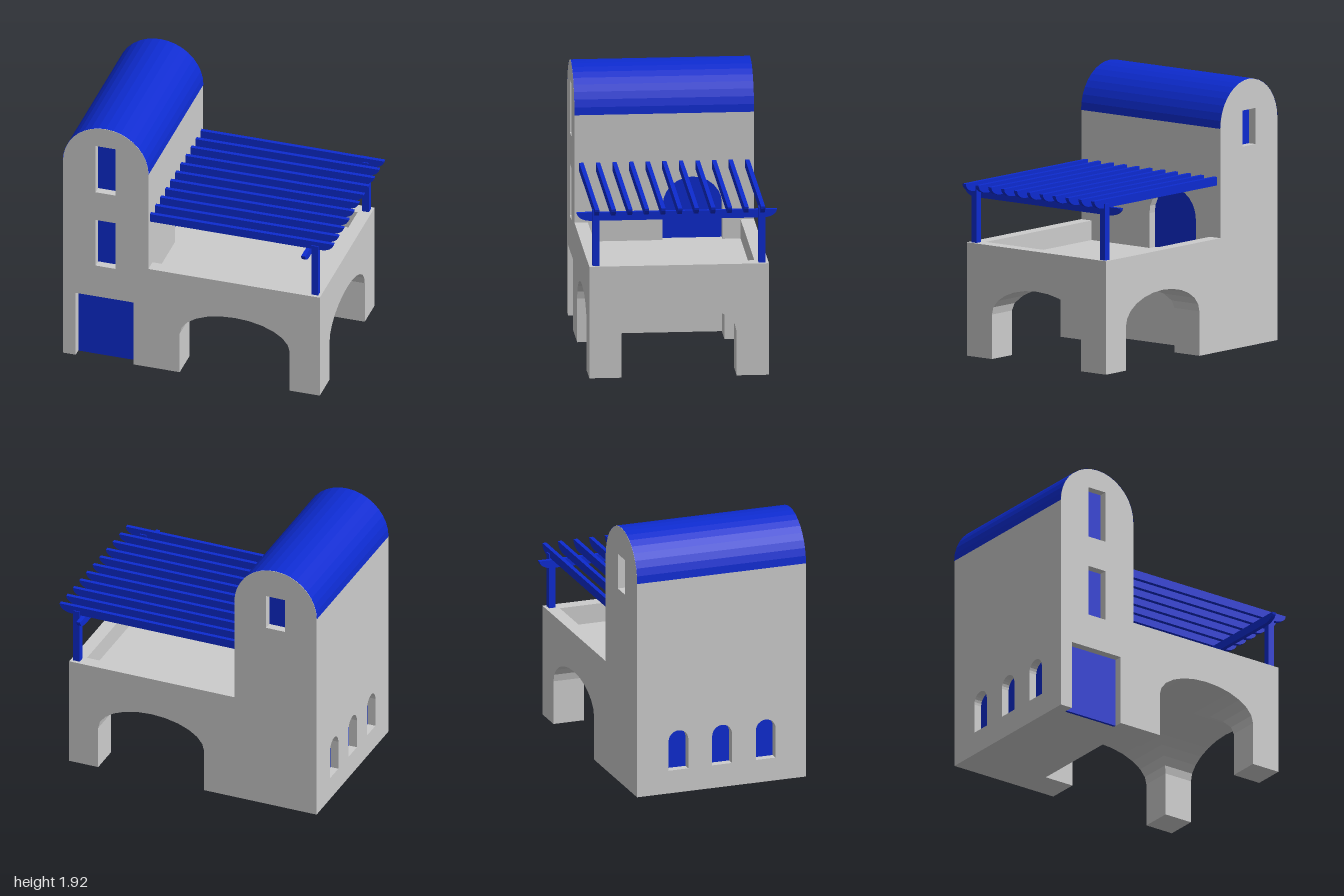
import * as THREE from 'three';

const SEG = 18, RECESS = 0.08, PANE = 0.02;
const BACK = -0.648, FRONT = 0.629, ZMID = (BACK + FRONT) / 2;
const LEFT = -1, WALL = -0.365, RIGHT = 0.91;          // tower sides, terrace end
const SPRING = 1.6, RAD = (WALL - LEFT) / 2, TX = (WALL + LEFT) / 2;
const FLOOR = 0.675, TOP = 0.815;
const AX = 0.2775, AZ = -0.01, AR = 0.409, AS = 0.32, AH = 0.208; // vault arches

const grey = new THREE.MeshStandardMaterial({ color: 0xcccccc, flatShading: true });
const greyThin = new THREE.MeshStandardMaterial({ color: 0xcccccc, flatShading: true, side: THREE.DoubleSide });
const blue = new THREE.MeshStandardMaterial({ color: 0x0d2bd0 });
const roofBlue = new THREE.MeshStandardMaterial({ color: 0x0d2bd0, flatShading: true, side: THREE.DoubleSide });

// Half ellipse from right to left
const arc = (c, r, spring, h, n = SEG) => Array.from({ length: n + 1 }, (_, i) => {
  const t = Math.PI * i / n;
  return [c + r * Math.cos(t), spring + h * Math.sin(t)];
});
const rect = (x0, x1, y0, y1) => [[x0, y0], [x1, y0], [x1, y1], [x0, y1]];
const archway = (c, r, y0, spring, h) => [[c - r, y0], [c + r, y0], ...arc(c, r, spring, h, 12)];
const vec = pts => pts.map(p => new THREE.Vector2(...p));

// Extrusions along z, and along x (outline given as [-z, y])
function alongZ(pts, z0, z1, holes = []) {
  const s = new THREE.Shape(vec(pts));
  s.holes = holes.map(h => new THREE.Path(vec(h)));
  return new THREE.ExtrudeGeometry(s, { depth: z1 - z0, bevelEnabled: false }).translate(0, 0, z0);
}
const alongX = (pts, x0, x1, holes) => alongZ(pts, x0, x1, holes).rotateY(Math.PI / 2);

// Ceiling where the two crossing tunnels meet
function groinVault(n = 12) {
  const pos = [], idx = [];
  const h = i => AS + AH * Math.sin(Math.PI * i / n);
  const off = i => -AR * Math.cos(Math.PI * i / n);
  for (let j = 0; j <= n; j++) for (let i = 0; i <= n; i++)
    pos.push(AX + off(i), Math.max(h(i), h(j)), AZ + off(j));
  for (let j = 0; j < n; j++) for (let i = 0; i < n; i++) {
    const a = j * (n + 1) + i, b = a + 1, c = a + n + 1, d = c + 1;
    if ((i < n / 2) === (j < n / 2)) idx.push(a, b, d, a, d, c);
    else idx.push(a, b, c, b, d, c);
  }
  const g = new THREE.BufferGeometry();
  g.setAttribute('position', new THREE.Float32BufferAttribute(pos, 3));
  g.setIndex(idx);
  g.computeVertexNormals();
  return g;
}

// Timber outline with an undercut, rounded tip at u1 (and at u0 if both)
function timber(u0, u1, y0, y1, both) {
  const tip = 0.1, n = 6, pts = [];
  const curve = (u, s) => Array.from({ length: n + 1 }, (_, i) => {
    const t = Math.PI / 2 * i / n;
    return [u + s * (Math.sin(t) - 1) * tip, y1 - (y1 - y0) * Math.cos(t)];
  });
  if (both) pts.push(...curve(u0, -1).reverse());
  else pts.push([u0, y1], [u0, y0]);
  pts.push(...curve(u1, 1));
  return pts;
}

export function createModel() {
  const model = new THREE.Group();
  const group = name => {
    const g = new THREE.Group();
    g.name = name;
    model.add(g);
    return g;
  };
  const add = (parent, name, geo, mat = grey) => {
    const m = new THREE.Mesh(geo, mat);
    m.name = name;
    parent.add(m);
  };

  // Tower: solid core wrapped in four walls with recessed openings
  const tower = group('tower');
  const vault = arc(TX, RAD, SPRING, RAD);
  const inL = LEFT + RECESS, inR = WALL - RECESS, inB = BACK + RECESS, inF = FRONT - RECESS;
  add(tower, 'towerCore', alongZ([[inL, 0], [inR, 0], [inR, SPRING], ...vault, [inL, SPRING]], inB, inF));

  const door = [-0.905, -0.475, 0, 0.515];
  const frontWindows = [[-0.757, -0.61, 0.77, 1.15], [-0.757, -0.61, 1.38, 1.765]];
  const backWindow = [-0.757, -0.61, 1.44, 1.70];
  const [d0, d1, , dTop] = door;
  add(tower, 'frontWall', alongZ([[LEFT, 0], [d0, 0], [d0, dTop], [d1, dTop], [d1, 0], [WALL, 0], ...vault],
    inF, FRONT, frontWindows.map(w => rect(...w))));
  add(tower, 'backWall', alongZ([[LEFT, 0], [WALL, 0], ...vault], BACK, inB, [rect(...backWindow)]));

  const side = rect(-inF, -inB, 0, SPRING);
  const sideWindows = [-0.335, -0.005, 0.325].map(z => archway(-z, 0.075, 0.17, 0.39, 0.075));
  const terraceDoor = archway(0.21, 0.213, FLOOR, 0.925, 0.21);
  add(tower, 'leftWall', alongX(side, LEFT, inL, sideWindows));
  add(tower, 'rightWall', alongX(side, inR, WALL, [terraceDoor]));

  // Panels set back in the openings
  add(tower, 'frontDoor', alongZ(rect(...door), inF, inF + PANE), blue);
  frontWindows.forEach(w => add(tower, 'frontWindow', alongZ(rect(...w), inF, inF + PANE), blue));
  add(tower, 'backWindow', alongZ(rect(...backWindow), inB - PANE, inB), blue);
  sideWindows.forEach(w => add(tower, 'sideWindow', alongX(w, inL - PANE, inL), blue));
  add(tower, 'terraceDoor', alongX(terraceDoor, inR, inR + PANE), blue);

  // Barrel roof skin
  const roof = new THREE.CylinderGeometry(RAD + 0.002, RAD + 0.002, FRONT - BACK, SEG, 1, true, Math.PI / 2, Math.PI);
  add(tower, 'barrelRoof', roof.rotateX(Math.PI / 2).translate(TX, SPRING, ZMID), roofBlue);

  // Terrace: four arched sides around a groin vault
  const terrace = group('terrace');
  const arched = (u0, u1, c) => [[u0, 0], ...arc(c, AR, AS, AH, 12).reverse().flatMap((p, i) =>
    i === 0 ? [[p[0], 0], p] : i === 12 ? [p, [p[0], 0]] : [p]), [u1, 0], [u1, FLOOR], [u0, FLOOR]];
  const frontArch = arched(WALL, RIGHT, AX);
  add(terrace, 'frontArch', alongZ(frontArch, AZ + AR, FRONT));
  add(terrace, 'backArch', alongZ(frontArch, BACK, AZ - AR));
  // the end arches fill only the gap between the piers
  const endArch = [...arc(-AZ, AR, AS, AH, 12), [-AZ - AR, FLOOR], [-AZ + AR, FLOOR]];
  add(terrace, 'rightArch', alongX(endArch, AX + AR, RIGHT));
  add(terrace, 'innerArch', alongX(endArch, WALL, AX - AR));
  add(terrace, 'groinVault', groinVault(), greyThin);
  add(terrace, 'terraceFloor', new THREE.BoxGeometry(2 * AR, 0.1, 2 * AR).translate(AX, FLOOR - 0.05, AZ));

  // Parapet on three sides
  const p = 0.096;
  const parapet = [[WALL, -FRONT], [RIGHT, -FRONT], [RIGHT, -BACK], [WALL, -BACK],
    [WALL, -BACK - p], [RIGHT - p, -BACK - p], [RIGHT - p, -FRONT + p], [WALL, -FRONT + p]];
  add(terrace, 'parapet', alongZ(parapet, FLOOR, TOP).rotateX(-Math.PI / 2));

  // Pergola: posts, cross beam and eleven rafters
  const pergola = group('pergola');
  const zBack = -0.6, zFront = 0.58;
  for (const z of [zBack, zFront])
    add(pergola, 'post', new THREE.BoxGeometry(0.05, 1.22 - TOP, 0.048).translate(0.865, (1.22 + TOP) / 2, z), blue);
  add(pergola, 'crossBeam', alongX(timber(-0.712, 0.712, 1.13, 1.19, true), 0.798, 0.828), blue);
  for (let i = 0; i < 11; i++) {
    const z = zBack + (zFront - zBack) * i / 10;
    add(pergola, 'rafter', alongZ(timber(WALL, 1, 1.19, 1.252), z - 0.015, z + 0.015), blue);
  }
  return model;
}
